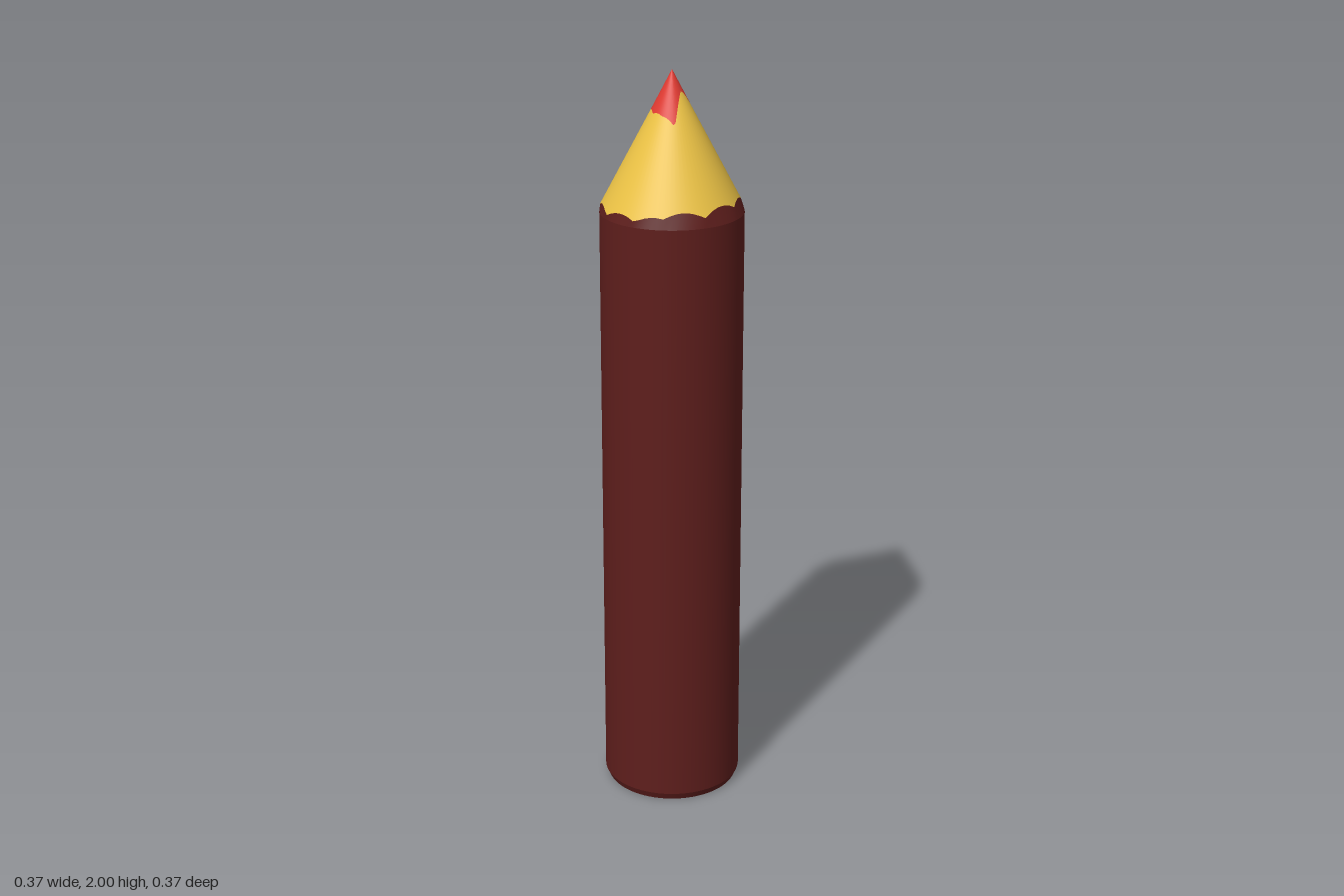
import * as THREE from 'three';
import { mergeGeometries } from 'three/addons/utils/BufferGeometryUtils.js';

const SIDES = 72;
const RADIUS = 0.187;
const TIP = 2;
const SLOPE = 1.89;

// Hand-cut outlines as [x, z] corners, going round the pencil
const leadEdge = [[-0.05, -0.02], [-0.043, -0.06], [-0.01, -0.055], [0.025, -0.055], [0.048, -0.03],
  [0.054, 0.008], [0.016, 0.022], [-0.014, 0.068], [-0.04, 0.04], [-0.055, 0.012]];
const woodEdge = [[-0.172, -0.075], [-0.135, -0.135], [-0.055, -0.18], [0.01, -0.188], [0.07, -0.174],
  [0.15, -0.11], [0.185, -0.03], [0.175, 0.04], [0.125, 0.125], [0.03, 0.178], [-0.075, 0.163],
  [-0.14, 0.122], [-0.185, 0.03]];

// Distance from the axis to a polygon outline in the direction (c, s)
function outlineRadius(points, c, s) {
  for (let i = 0; i < points.length; i++) {
    const [ax, az] = points[i];
    const [bx, bz] = points[(i + 1) % points.length];
    const sideA = c * az - s * ax;
    const sideB = c * bz - s * bx;
    if (sideA * sideB > 0 || sideA === sideB) continue;
    const t = sideA / (sideA - sideB);
    const r = c * (ax + t * (bx - ax)) + s * (az + t * (bz - az));
    if (r > 0) return r;
  }
  return RADIUS;
}

// Rings: each maps a direction to [radius, height]
const circle = (r, y) => () => [r, y];
const coneCut = (points) => (c, s) => {
  const r = outlineRadius(points, c, s);
  return [r, TIP - r * SLOPE];
};

// Closed skin through the rings, listed from bottom to top
function skin(...rings) {
  const position = [];
  const index = [];
  rings.forEach((ring, k) => {
    for (let i = 0; i < SIDES; i++) {
      const a = (i / SIDES) * Math.PI * 2;
      const c = Math.cos(a), s = Math.sin(a);
      const [r, y] = ring(c, s);
      position.push(r * c, y, r * s);
      if (k === 0) continue;
      const j = (i + 1) % SIDES;
      const low = (k - 1) * SIDES, high = k * SIDES;
      index.push(low + i, high + i, low + j, low + j, high + i, high + j);
    }
  });
  const geometry = new THREE.BufferGeometry();
  geometry.setAttribute('position', new THREE.Float32BufferAttribute(position, 3));
  geometry.setIndex(index);
  geometry.computeVertexNormals();
  return geometry;
}

function part(name, geometry, color) {
  const mesh = new THREE.Mesh(geometry, new THREE.MeshStandardMaterial({ color }));
  mesh.name = name;
  return mesh;
}

export function createModel() {
  const pencil = new THREE.Group();
  pencil.name = 'pencil';

  // Painted barrel: flat end, small bevel, long side, cut collar
  const barrel = mergeGeometries([
    skin(circle(0.0005, 0), circle(0.178, 0)),
    skin(circle(0.178, 0), circle(RADIUS, 0.02)),
    skin(circle(RADIUS, 0.02), circle(RADIUS, 1.635)),
    skin(circle(RADIUS, 1.635), coneCut(woodEdge)),
  ]);
  pencil.add(part('barrel', barrel, 0x5e1e1c));

  // Sharpened wood between the two cut outlines
  pencil.add(part('sharpenedWood', skin(coneCut(woodEdge), coneCut(leadEdge)), 0xebc245));

  // Coloured lead with its jagged lower edge
  pencil.add(part('lead', skin(coneCut(leadEdge), circle(0.0008, TIP)), 0xdf3a31));

  return pencil;
}
